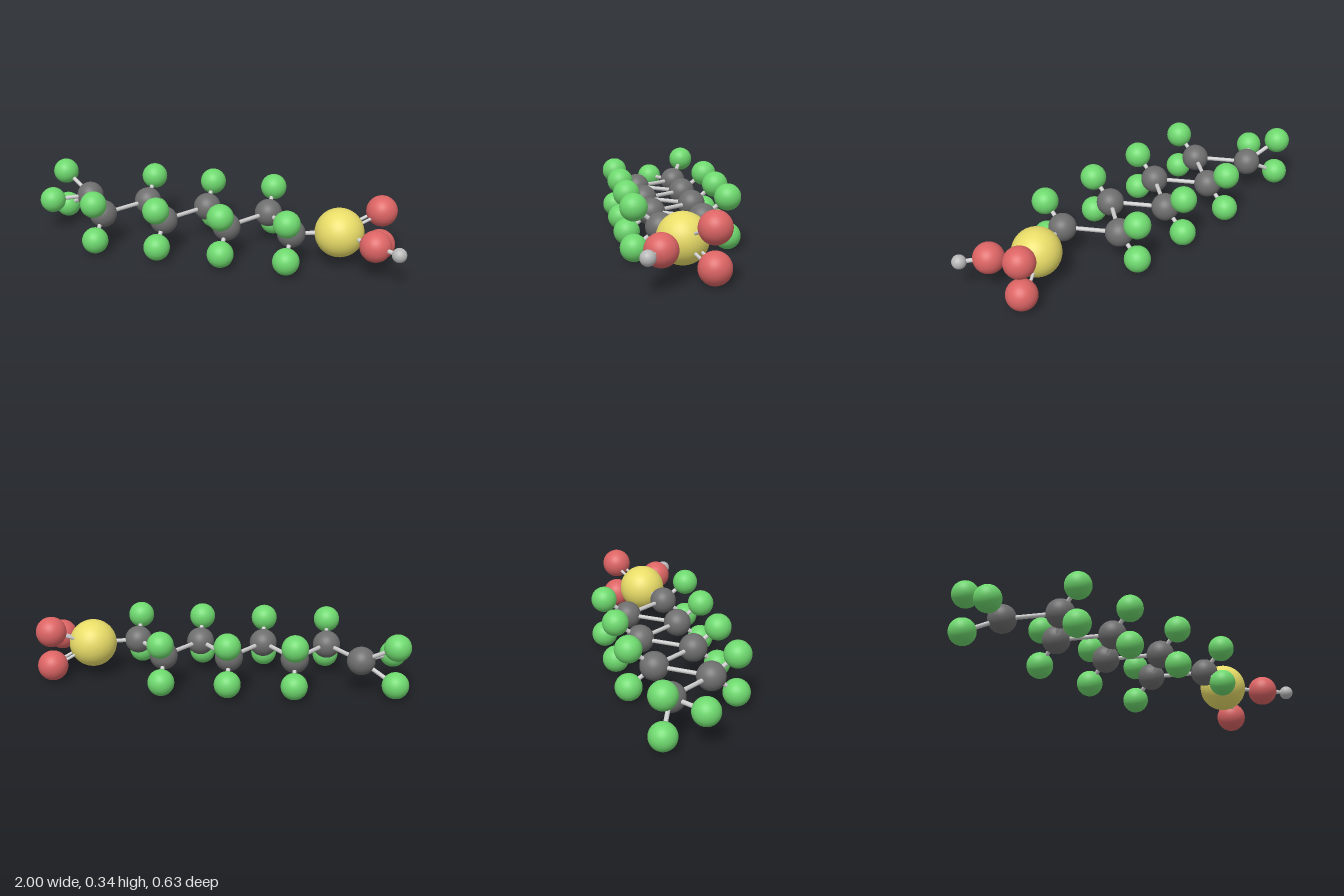
import * as THREE from 'three';

const MID = 0.175; // height of the molecule's plane
const UP = new THREE.Vector3(0, 1, 0);

// radius and colour of each kind of atom
const KINDS = {
  carbon: { radius: 0.072, color: 0x6e6e6e },
  fluorine: { radius: 0.068, color: 0x6ed86e },
  sulfur: { radius: 0.125, color: 0xe8dc68 },
  oxygen: { radius: 0.079, color: 0xdc6464 },
  hydrogen: { radius: 0.0365, color: 0xb8b8b8 },
};

export function createModel() {
  const model = new THREE.Group();
  model.name = 'ballAndStickMolecule';
  const atoms = new THREE.Group();
  atoms.name = 'atoms';
  const bonds = new THREE.Group();
  bonds.name = 'bonds';
  model.add(atoms, bonds);

  const bondMaterial = new THREE.MeshStandardMaterial({ color: 0xcccccc });
  const shared = {};
  for (const [kind, { radius, color }] of Object.entries(KINDS)) {
    shared[kind] = {
      geometry: new THREE.SphereGeometry(radius, 40, 28),
      material: new THREE.MeshStandardMaterial({ color }),
    };
  }

  // ball at x, z, raised dy from the middle plane
  function atom(kind, x, dy, z) {
    const mesh = new THREE.Mesh(shared[kind].geometry, shared[kind].material);
    mesh.name = kind + 'Atom';
    mesh.position.set(x, MID + dy, z);
    atoms.add(mesh);
    return mesh.position;
  }

  // straight rod between two points
  function rod(a, b, radius = 0.011, name = 'singleBond') {
    const dir = b.clone().sub(a);
    const mesh = new THREE.Mesh(new THREE.CylinderGeometry(radius, radius, dir.length(), 16), bondMaterial);
    mesh.name = name;
    mesh.position.copy(a).add(b).multiplyScalar(0.5);
    mesh.quaternion.setFromUnitVectors(UP, dir.normalize());
    bonds.add(mesh);
  }

  // two parallel rods, side by side horizontally
  function doubleRod(a, b) {
    const side = b.clone().sub(a).cross(UP).setLength(0.02);
    for (const s of [-1, 1]) {
      const shift = side.clone().multiplyScalar(s);
      rod(a.clone().add(shift), b.clone().add(shift), 0.008, 'doubleBond');
    }
  }

  // zigzag carbon chain, each inner carbon carrying two fluorines
  let previous = null;
  for (let i = 0; i < 8; i++) {
    const s = i % 2 ? 1 : -1;
    const x = -0.762 + i * 0.1678;
    const carbon = atom('carbon', x, 0, s * 0.119);
    if (previous) rod(previous, carbon);
    if (i > 0) {
      for (const dy of [-0.1, 0.1]) rod(carbon, atom('fluorine', x, dy, s * 0.246));
    }
    previous = carbon;
  }

  // three fluorines at the chain's end
  const endCarbon = atoms.children[0].position;
  for (const [dy, z] of [[0.1, -0.193], [-0.1, -0.193], [0, 0.002]]) {
    rod(endCarbon, atom('fluorine', -0.932, dy, z));
  }

  // sulfur head with two double-bonded oxygens and a hydroxyl
  const sulfur = atom('sulfur', 0.645, 0, 0.046);
  rod(previous, sulfur);
  for (const dy of [-0.093, 0.093]) doubleRod(sulfur, atom('oxygen', 0.84, dy, -0.068));
  const hydroxyl = atom('oxygen', 0.84, 0, 0.172);
  rod(sulfur, hydroxyl);
  rod(hydroxyl, atom('hydrogen', 0.961, 0, 0.246));

  return model;
}
